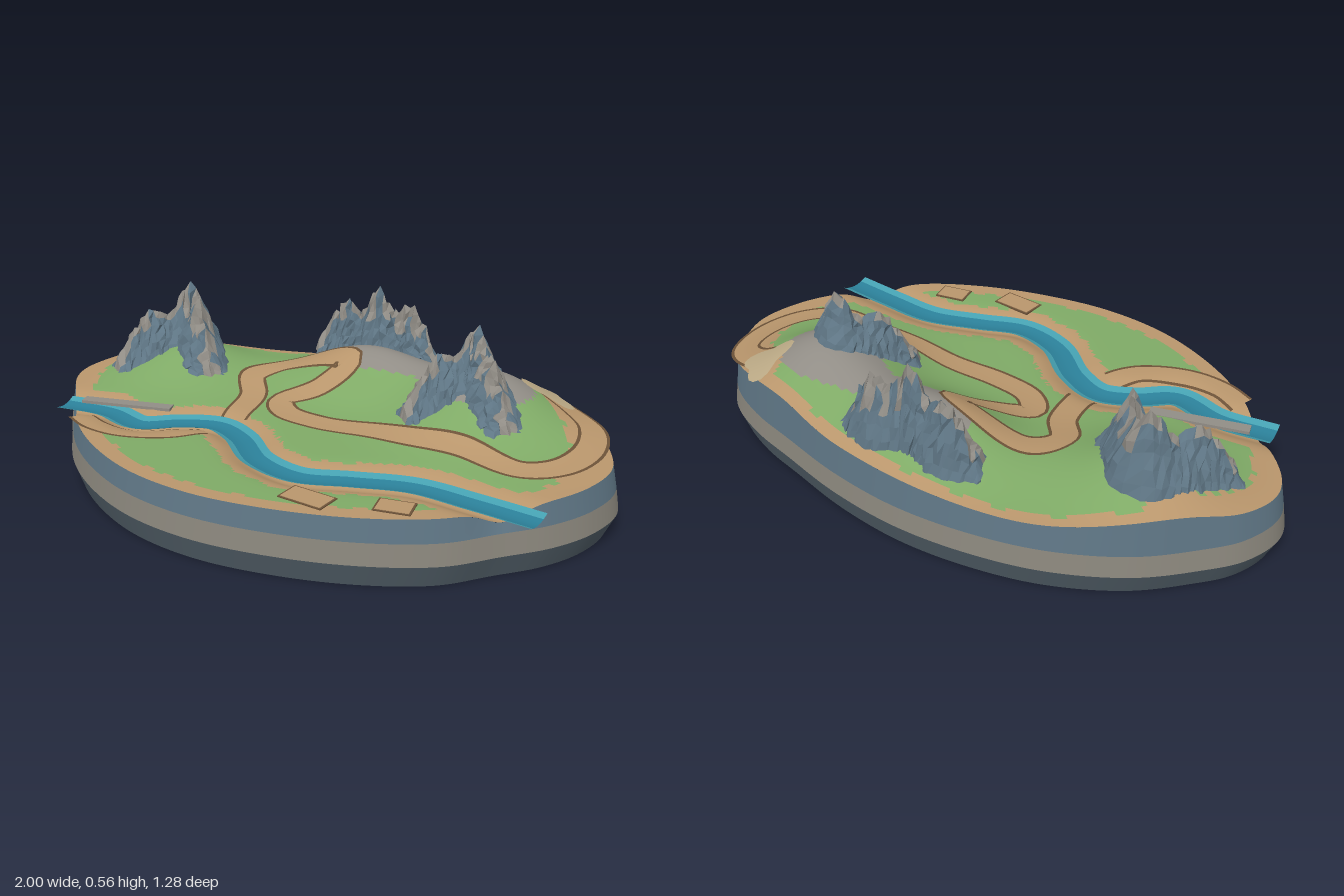
import * as THREE from 'three';

const mat = (name, color, side = THREE.FrontSide) => {
  const m = new THREE.MeshStandardMaterial({ color, side });
  m.name = name;
  return m;
};
const DS = THREE.DoubleSide;
const sand = mat('sand', 0xb9966c, DS);
const grass = mat('grass', 0x7faa66);
const rock = mat('rock grey', 0x918d86);
const slate = mat('slate blue', 0x5f7685, DS);
const strata = mat('strata grey', 0x8a867c);
const base = mat('base dark', 0x505d66);
const water = mat('deep water', 0x2b8099, DS);
const shallow = mat('shallow water', 0x45a0b0, DS);
const brown = mat('trail edge brown', 0x6c5238, DS);
const cream = mat('pale gravel', 0xbcaa86, DS);

const hash = (i, j) => {
  const s = Math.sin(i * 127.1 + j * 311.7) * 43758.5453;
  return s - Math.floor(s);
};
const curve = (pts, closed = false) =>
  new THREE.CatmullRomCurve3(pts.map(([x, z]) => new THREE.Vector3(x, 0, z)), closed);

const outline = curve([
  [0, -0.645], [0.25, -0.61], [0.485, -0.545], [0.68, -0.485], [0.835, -0.4], [0.94, -0.265],
  [1, -0.1], [0.97, 0.06], [0.89, 0.2], [0.77, 0.325], [0.645, 0.45], [0.43, 0.555],
  [0.165, 0.62], [-0.08, 0.635], [-0.32, 0.59], [-0.535, 0.485], [-0.705, 0.35], [-0.855, 0.165],
  [-0.98, -0.01], [-1, -0.115], [-0.95, -0.25], [-0.855, -0.355], [-0.705, -0.48],
  [-0.48, -0.585], [-0.24, -0.635]], true);
const river = curve([[-0.855, 0.2], [-0.67, 0.19], [-0.51, 0.235], [-0.4, 0.165], [-0.28, 0.125],
  [-0.16, 0.18], [-0.02, 0.305], [0.14, 0.355], [0.3, 0.31], [0.48, 0.265], [0.67, 0.285], [0.87, 0.315]]);
const riverPts = river.getSpacedPoints(140);
const riverDist = (x, z) => Math.min(...riverPts.map(p => Math.hypot(p.x - x, p.z - z)));

// Ground height: flat land, three hills and the river channel
const hills = [[-0.62, -0.25, 0.113, 0.16, 0.15], [0.035, -0.39, 0.15, 0.2, 0.13], [0.51, -0.28, 0.165, 0.175, 0.17]];
function ground(x, z) {
  let y = 0.213;
  for (const [cx, cz, h, sx, sz] of hills)
    y += h * Math.exp(-((x - cx) ** 2 / (2 * sx * sx) + (z - cz) ** 2 / (2 * sz * sz)));
  return y - 0.042 * Math.exp(-((riverDist(x, z) / 0.065) ** 2));
}

// Grid surface; pick(i, j, centre) chooses the material of each cell
function surface(name, nu, nv, point, mats, pick = () => 0, faceted = false) {
  const pos = [], lists = mats.map(() => []);
  for (let i = 0; i <= nu; i++) for (let j = 0; j <= nv; j++) pos.push(...point(i / nu, j / nv, i, j));
  for (let i = 0; i < nu; i++) for (let j = 0; j < nv; j++) {
    const a = i * (nv + 1) + j, b = a + 1, c = a + nv + 1, d = c + 1;
    const mid = [0, 1, 2].map(k => (pos[a * 3 + k] + pos[d * 3 + k]) / 2);
    lists[pick(i, j, mid)].push(a, b, c, b, d, c);
  }
  let g = new THREE.BufferGeometry();
  g.setAttribute('position', new THREE.Float32BufferAttribute(pos, 3));
  g.setIndex(lists.flat());
  let start = 0;
  lists.forEach((l, k) => { g.addGroup(start, l.length, k); start += l.length; });
  if (faceted) {
    const groups = g.groups;
    g = g.toNonIndexed();
    g.clearGroups();
    groups.forEach(q => g.addGroup(q.start, q.count, q.materialIndex));
  }
  g.computeVertexNormals();
  const mesh = new THREE.Mesh(g, mats.length > 1 ? mats : mats[0]);
  mesh.name = name;
  return mesh;
}

// Strip beside a path, from offset a to offset b, at height y(x, z, offset)
function strip(name, path, a, b, y, material, n = 160, across = 4) {
  return surface(name, n, across, (u, v) => {
    const p = path.getPointAt(u), t = path.getTangentAt(u), o = a + (b - a) * v;
    const x = p.x - t.z * o, z = p.z + t.x * o;
    return [x, y(x, z, o), z];
  }, [material]);
}

// Trail with two dark edges
function trail(name, path, half) {
  const g = new THREE.Group();
  g.name = name;
  g.add(strip(name + 'Surface', path, -half, half, (x, z) => ground(x, z) + 0.006, sand));
  for (const s of [-1, 1])
    g.add(strip(name + 'Edge', path, s * half - 0.005, s * half + 0.005, (x, z) => ground(x, z) + 0.008, brown, 160, 1));
  return g;
}

// Jagged ridge: crest heights run along the curve, both flanks fall to the ground
function mountain(name, pts, tops, half) {
  const path = curve(pts), N = 44, M = 12;
  return surface(name, N, M, (u, v, i, j) => {
    const p = path.getPointAt(u), t = path.getTangentAt(u), s = v * 2 - 1;
    const edge = Math.abs(s) === 1;
    const w = half * (1 + 0.18 * (hash(i, 3) - 0.5));
    const o = s * w + (edge ? 0 : (hash(i, j) - 0.5) * 0.016);
    const slip = edge ? 0 : (hash(j, i + 9) - 0.5) * 0.014;
    const x = p.x - t.z * o + t.x * slip, z = p.z + t.x * o + t.z * slip;
    const k = Math.min(u * (tops.length - 1), tops.length - 1.001), q = Math.floor(k);
    const top = THREE.MathUtils.lerp(tops[q], tops[q + 1], k - q) + (hash(i, 7) - 0.5) * 0.03;
    const low = ground(x, z) - 0.012;
    const f = (1 - Math.abs(s)) ** 0.95 * (edge ? 0 : 1);
    return [x, low + Math.max(top - low, 0.01) * f, z];
  }, [slate, rock], (i, j) => {
    const rise = 1 - Math.abs((j + 0.5) / M * 2 - 1);
    return rise > 0.45 + 0.55 * hash(Math.floor(i / 2), j < M / 2 ? 1 : 2) ? 1 : 0;
  }, true);
}

export function createModel() {
  const model = new THREE.Group();
  model.name = 'landscapeBoard';

  // Layered plinth
  const TOP = 0.972;
  const rim = (t, s) => outline.getPoint(t % 1).multiplyScalar(s);
  const band = (name, s0, y0, s1, y1, m) => model.add(surface(name, 200, 1, (u, v) => {
    const p = rim(u, v ? s1 : s0);
    return [p.x, v ? (y1 ?? ground(p.x, p.z)) : y0, p.z];
  }, [m]));
  band('lowerBand', 0.967, 0, 1, 0.073, base);
  band('middleBand', 1, 0.073, 0.988, 0.142, strata);
  band('upperBand', 0.988, 0.142, TOP, null, slate);
  model.add(surface('underside', 200, 1, (u, v) => {
    const p = rim(u, v * 0.967);
    return [p.x, 0, p.z];
  }, [base]));

  // Terrain with sandy margins, grass and bare hilltops
  const NR = 50, NA = 260;
  model.add(surface('terrain', NR, NA, (u, v) => {
    const p = rim(v, u * TOP);
    return [p.x, ground(p.x, p.z), p.z];
  }, [grass, sand, rock], (i, j, [x, y, z]) => {
    const ragged = hash(Math.floor(j / 2), 5);
    if (y > 0.327) return 2;
    const margin = 0.89 + 0.03 * ragged + (z < -0.4 ? 0.03 : 0) - (x > 0.6 && z < 0.05 ? 0.05 : 0);
    return i / NR > margin || riverDist(x, z) < 0.1 + 0.015 * ragged ? 1 : 0;
  }));

  // River
  const level = (x, z, o) => 0.193 + 0.015 * (o / 0.056) ** 2;
  model.add(strip('riverDeep', river, -0.034, 0.034, level, water));
  for (const s of [-1, 1])
    model.add(strip('riverShallow', river, s * 0.034, s * 0.056, level, shallow, 160, 2));

  // Trails
  model.add(trail('mainTrail', curve([[-0.25, 0.07], [-0.27, -0.1], [-0.335, -0.22], [-0.27, -0.32],
    [-0.13, -0.335], [0.0, -0.3], [-0.06, -0.2], [-0.16, -0.11], [-0.11, -0.035], [0.03, 0], [0.22, 0],
    [0.38, 0.02], [0.54, 0.03], [0.74, 0.065], [0.84, -0.01], [0.885, -0.16], [0.85, -0.31],
    [0.76, -0.37], [0.67, -0.385]]), 0.045));
  model.add(trail('lowerTrail', curve([[-0.28, 0.2], [-0.36, 0.29], [-0.5, 0.345], [-0.62, 0.335], [-0.71, 0.29]]), 0.04));

  // Pale gravel clearing
  model.add(surface('gravelClearing', 6, 24, (u, v) => {
    const a = v * Math.PI * 2, r = u * (0.078 + 0.02 * Math.sin(a * 3 + 1));
    const x = 0.675 + r * Math.cos(a), z = -0.4 + r * Math.sin(a);
    return [x, ground(x, z) + 0.009, z];
  }, [cream]));

  // Mountains
  model.add(mountain('leftMountain', [[-0.84, -0.085], [-0.74, -0.21], [-0.635, -0.32], [-0.55, -0.22], [-0.46, -0.12]],
    [0.25, 0.37, 0.45, 0.42, 0.53, 0.46, 0.52, 0.4, 0.25], 0.085));
  model.add(mountain('backMountain', [[-0.215, -0.48], [-0.12, -0.52], [0.015, -0.495], [0.14, -0.52], [0.255, -0.48]],
    [0.3, 0.43, 0.49, 0.45, 0.56, 0.47, 0.5, 0.42, 0.29], 0.06));
  model.add(mountain('rightMountain', [[0.29, -0.08], [0.38, -0.175], [0.47, -0.255], [0.56, -0.17], [0.645, -0.07]],
    [0.27, 0.38, 0.47, 0.45, 0.55, 0.46, 0.48, 0.38, 0.27], 0.077));

  // Flat boxes: stone slab and two marked plots
  const plate = (name, w, h, d, x, y, z, turn, m) => {
    const b = new THREE.Mesh(new THREE.BoxGeometry(w, h, d), m);
    b.name = name;
    b.position.set(x, y, z);
    b.rotation.y = turn;
    model.add(b);
  };
  plate('stoneSlab', 0.32, 0.01, 0.04, -0.63, 0.216, 0.135, 0.22, rock);
  for (const [x, z, w, d, turn] of [[0.245, 0.49, 0.15, 0.087, -0.14], [0.49, 0.43, 0.112, 0.08, 0.14]]) {
    plate('plotBorder', w, 0.006, d, x, 0.213, z, turn, brown);
    plate('plotSurface', w - 0.012, 0.008, d - 0.012, x, 0.2135, z, turn, sand);
  }
  return model;
}
